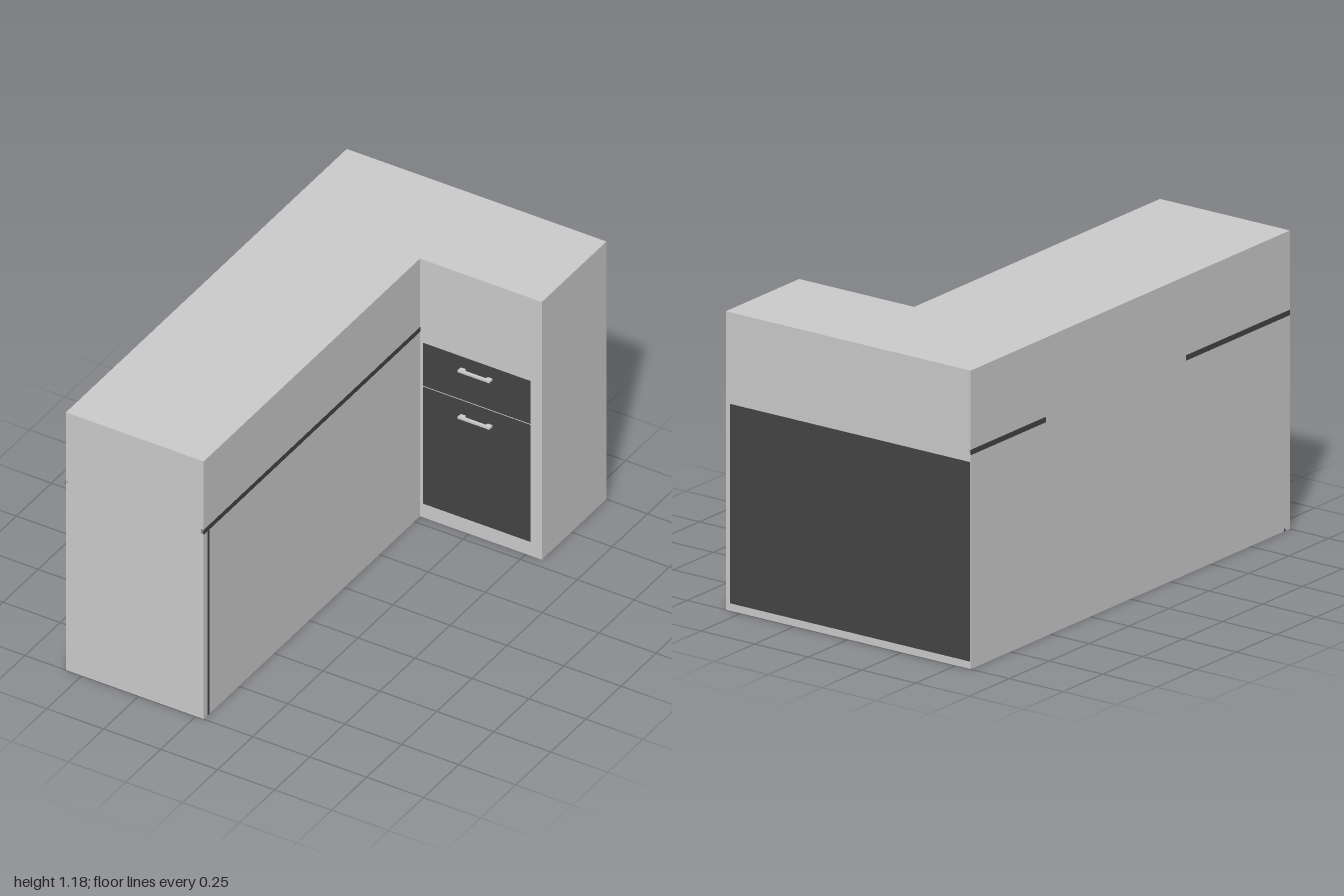
import * as THREE from 'three';

const L = -0.57, R = 0.57, INNER = 0.035, BACK = -1, FRONT = 1, STEP = -0.54, H = 1.18;
const SKIN = 0.0015; // how far the flush dark panels stand proud

export function createModel() {
  const model = new THREE.Group();
  model.name = 'cornerCounter';
  const grey = new THREE.MeshStandardMaterial({ color: 0xcccccc });
  const dark = new THREE.MeshStandardMaterial({ color: 0x444444 });

  // Box given by its minimum and maximum corners
  function box(name, material, [x0, y0, z0], [x1, y1, z1], parent = model) {
    const mesh = new THREE.Mesh(new THREE.BoxGeometry(x1 - x0, y1 - y0, z1 - z0), material);
    mesh.position.set((x0 + x1) / 2, (y0 + y1) / 2, (z0 + z1) / 2);
    mesh.name = name;
    parent.add(mesh);
    return mesh;
  }

  // L-shaped body: plan drawn as (x, -z), extruded upwards
  const plan = new THREE.Shape([
    [L, -FRONT], [INNER, -FRONT], [INNER, -STEP], [R, -STEP], [R, -BACK], [L, -BACK],
  ].map(([x, y]) => new THREE.Vector2(x, y)));
  const bodyGeometry = new THREE.ExtrudeGeometry(plan, { depth: H, bevelEnabled: false });
  bodyGeometry.rotateX(-Math.PI / 2);
  const body = new THREE.Mesh(bodyGeometry, grey);
  body.name = 'counterBody';
  model.add(body);

  // Drawer and door on the short wing
  box('drawerFront', dark, [0.05, 0.604, STEP - 0.01], [0.52, 0.8, STEP + SKIN]);
  box('doorFront', dark, [0.05, 0.064, STEP - 0.01], [0.52, 0.599, STEP + SKIN]);

  // Bar handles on two short posts
  for (const [name, y] of [['drawerHandle', 0.746], ['doorHandle', 0.533]]) {
    const handle = new THREE.Group();
    handle.name = name;
    model.add(handle);
    const y0 = y - 0.004, y1 = y + 0.004;
    box('handleBar', grey, [0.215, y0, -0.528], [0.355, y1, -0.515], handle);
    for (const x of [0.215, 0.333])
      box('handlePost', grey, [x, y0, STEP], [x + 0.022, y1, -0.528], handle);
  }

  // Dark panel across the back
  box('backPanel', dark, [L + 0.003, 0.03, BACK - SKIN], [0.55, 0.818, BACK + 0.01]);

  // Shadow line along the inner face, and its ends on the outer face
  box('innerShadowLine', dark, [INNER - 0.01, 0.846, STEP], [INNER + SKIN, 0.867, FRONT]);
  for (const [z0, z1] of [[BACK, -0.53], [0.35, FRONT]])
    box('outerShadowLine', dark, [L - SKIN, 0.846, z0], [L + 0.01, 0.867, z1]);

  // Narrow joint of the end panel, on the inner face and underneath
  box('endPanelJoint', dark, [INNER - 0.01, 0, 0.96], [INNER + 0.0005, 0.846, 0.972]);
  box('endPanelJointBase', dark, [L, -0.0005, 0.96], [INNER, 0.01, 0.972]);

  return model;
}
